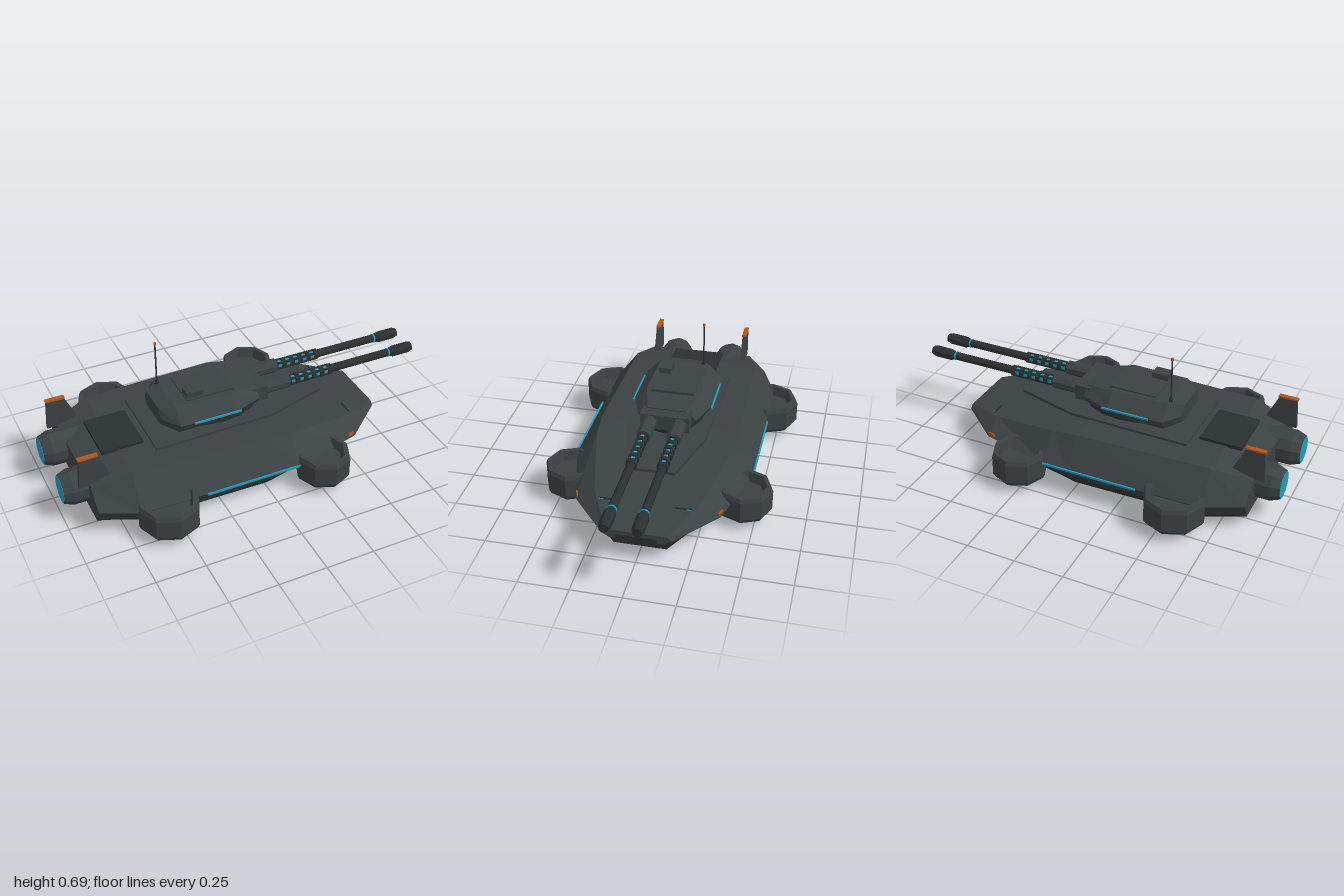
import * as THREE from 'three';

const mat = (name, color) => {
  const m = new THREE.MeshStandardMaterial({ color });
  m.name = name;
  return m;
};

export function createModel() {
  const armour = mat('armour grey', 0x3b4243);
  const dark = mat('dark metal', 0x2a2f30);
  const glow = mat('cyan glow', 0x2299bb);
  const accent = mat('orange accent', 0xb0561c);
  const model = new THREE.Group();
  model.name = 'hoverTank';

  // Faceted mesh helper
  const add = (name, geo, material, x = 0, y = 0, z = 0, parent = model) => {
    const g = geo.index ? geo.toNonIndexed() : geo;
    g.computeVertexNormals();
    const mesh = new THREE.Mesh(g, material);
    mesh.name = name;
    mesh.position.set(x, y, z);
    parent.add(mesh);
    return mesh;
  };
  // Box given by its limits
  const box = (name, material, x0, x1, y0, y1, z0, z1, parent = model) =>
    add(name, new THREE.BoxGeometry(x1 - x0, y1 - y0, z1 - z0), material,
      (x0 + x1) / 2, (y0 + y1) / 2, (z0 + z1) / 2, parent);
  // Rod along x, from radius r0 at x0 to r1 at x1
  const rod = (name, material, x0, x1, r0, r1, y, z, sides = 8, parent = model) => {
    const g = new THREE.CylinderGeometry(r1, r0, x1 - x0, sides);
    g.rotateY(Math.PI / sides).rotateZ(-Math.PI / 2);
    return add(name, g, material, (x0 + x1) / 2, y, z, parent);
  };
  // Symmetric loft along x; each station is [x, z, y, z, y, ...] from top to bottom
  const loft = (stations) => {
    const rings = stations.map(([x, ...p]) => {
      const half = [];
      for (let i = 0; i < p.length; i += 2) half.push([x, p[i + 1], p[i]]);
      return [...half, ...half.map(([a, b, c]) => [a, b, -c]).reverse()];
    });
    const pos = [];
    const tri = (a, b, c) => pos.push(...a, ...b, ...c);
    const n = rings[0].length;
    for (let i = 0; i < rings.length - 1; i++) {
      for (let j = 0; j < n; j++) {
        const k = (j + 1) % n;
        tri(rings[i][j], rings[i][k], rings[i + 1][k]);
        tri(rings[i][j], rings[i + 1][k], rings[i + 1][j]);
      }
    }
    const first = rings[0], last = rings[rings.length - 1];
    for (let j = 1; j < n - 1; j++) {
      tri(first[0], first[j + 1], first[j]);
      tri(last[0], last[j], last[j + 1]);
    }
    const g = new THREE.BufferGeometry();
    g.setAttribute('position', new THREE.Float32BufferAttribute(pos, 3));
    return g;
  };
  // Flat plate cut from an outline in x and z
  const plate = (outline, height) => {
    const s = new THREE.Shape(outline.map(([x, z]) => new THREE.Vector2(x, z)));
    return new THREE.ExtrudeGeometry(s, { depth: height, bevelEnabled: false }).rotateX(-Math.PI / 2);
  };

  // Hull
  add('upperHull', loft([
    [-0.88, 0.28, 0.25, 0.37, 0.16, 0.33, 0.08],
    [-0.69, 0.34, 0.30, 0.45, 0.15, 0.39, 0.07],
    [0.0, 0.36, 0.30, 0.46, 0.15, 0.39, 0.07],
    [0.14, 0.35, 0.28, 0.46, 0.15, 0.38, 0.075],
    [0.51, 0.26, 0.205, 0.36, 0.145, 0.29, 0.09],
    [0.73, 0.15, 0.16, 0.17, 0.14, 0.13, 0.115],
  ]), armour);
  add('lowerHull', loft([
    [-0.86, 0.29, 0.12, 0.29, 0.05, 0.26, 0.02],
    [-0.66, 0.375, 0.12, 0.375, 0.04, 0.345, 0.012],
    [0.02, 0.375, 0.12, 0.375, 0.04, 0.345, 0],
    [0.36, 0.31, 0.12, 0.31, 0.05, 0.28, 0.015],
    [0.66, 0.15, 0.11, 0.15, 0.06, 0.13, 0.03],
  ]), dark);
  box('nosePanel', dark, 0.725, 0.74, 0.12, 0.145, -0.1, 0.1);
  add('deckPlate', plate([[-0.52, -0.22], [0.1, -0.21], [0.43, -0.12],
    [0.43, 0.12], [0.1, 0.21], [-0.52, 0.22]], 0.016), armour, 0, 0.297);
  box('engineHatch', dark, -0.77, -0.555, 0.295, 0.315, -0.135, 0.135);

  // Hull details, mirrored
  for (const s of [1, -1]) {
    const side = s > 0 ? 'left' : 'right';
    box(side + 'GlowStrip', glow, -0.36, 0.14, 0.147, 0.157, s * 0.461 - 0.004, s * 0.461 + 0.004);
    const marker = box(side + 'Marker', accent, 0.47, 0.51, 0.152, 0.164, s * 0.356 - 0.004, s * 0.356 + 0.004);
    marker.rotation.y = s * 0.35;
    box(side + 'LampBracket', dark, 0.545, 0.553, 0.18, 0.202, s * 0.19 - 0.04, s * 0.19 + 0.04);
    box(side + 'Headlamp', glow, 0.551, 0.556, 0.192, 0.2, s * 0.215 - 0.012, s * 0.215 + 0.012);

    // Rear engine with glowing nozzle
    rod(side + 'EngineBody', armour, -0.95, -0.78, 0.09, 0.09, 0.185, s * 0.16, 10);
    rod(side + 'EngineNozzle', armour, -0.998, -0.95, 0.072, 0.09, 0.185, s * 0.16, 10);
    rod(side + 'EngineGlow', glow, -1, -0.996, 0.068, 0.068, 0.185, s * 0.16, 10);

    // Tail fin
    const fin = new THREE.Shape([[-0.93, 0.245], [-0.755, 0.245], [-0.83, 0.403], [-0.92, 0.403]]
      .map(([x, y]) => new THREE.Vector2(x, y)));
    add(side + 'Fin', new THREE.ExtrudeGeometry(fin, { depth: 0.02, bevelEnabled: false }),
      armour, 0, 0, s * 0.25 - 0.01);
    box(side + 'FinCap', accent, -0.925, -0.825, 0.402, 0.411, s * 0.25 - 0.012, s * 0.25 + 0.012);

    // Hover pods
    for (const [end, x, z, r] of [['Rear', -0.555, 0.445, 0.155], ['Front', 0.28, 0.44, 0.14]]) {
      const profile = [[0, 0.055], [0.78 * r, 0.047], [0.92 * r, 0.047], [r, 0.068], [r, 0.168], [0.94 * r, 0.19],
        [0.79 * r, 0.19], [0.7 * r, 0.14], [0, 0.14]].map(([a, b]) => new THREE.Vector2(a, b));
      add(side + end + 'HoverPod', new THREE.LatheGeometry(profile, 8), armour, x, 0, s * z);
      add(side + end + 'HoverGlow', new THREE.CylinderGeometry(0.8 * r, 0.8 * r, 0.006, 16),
        glow, x, 0.046, s * z);
    }
  }

  // Turret
  const turret = new THREE.Group();
  turret.name = 'turret';
  model.add(turret);
  const ring = new THREE.CylinderGeometry(0.25, 0.25, 0.035, 16).scale(1, 1, 0.66);
  add('turretRing', ring, dark, -0.14, 0.325, 0, turret);
  add('turretBody', loft([
    [-0.45, 0.08, 0.435, 0.11, 0.39, 0.09, 0.35],
    [-0.38, 0.13, 0.455, 0.2, 0.385, 0.17, 0.332],
    [-0.09, 0.14, 0.453, 0.205, 0.385, 0.17, 0.332],
    [0.065, 0.1, 0.43, 0.15, 0.385, 0.12, 0.342],
  ]), armour, 0, 0, 0, turret);
  box('roofHatch', armour, -0.31, -0.06, 0.445, 0.462, -0.11, 0.11, turret);
  box('sightBase', dark, -0.3, -0.23, 0.455, 0.47, 0.05, 0.1, turret);
  box('sightHead', armour, -0.308, -0.222, 0.467, 0.496, 0.043, 0.107, turret);
  for (const s of [1, -1]) {
    box('turretGlowStrip', glow, -0.31, -0.06, 0.381, 0.39, s * 0.205 - 0.004, s * 0.205 + 0.004, turret);
  }

  // Antenna
  add('antennaBase', new THREE.CylinderGeometry(0.01, 0.012, 0.025, 8), dark, -0.385, 0.455, -0.1, turret);
  add('antennaMast', new THREE.CylinderGeometry(0.004, 0.004, 0.24, 6), dark, -0.385, 0.565, -0.1, turret);
  add('antennaTip', new THREE.CylinderGeometry(0.007, 0.007, 0.014, 8), accent, -0.385, 0.687, -0.1, turret);

  // Twin guns
  box('mantlet', armour, 0.04, 0.125, 0.345, 0.425, -0.125, 0.125, turret);
  for (const s of [1, -1]) {
    const gun = new THREE.Group();
    gun.name = s > 0 ? 'leftGun' : 'rightGun';
    gun.position.set(0, 0.385, s * 0.075);
    turret.add(gun);
    rod('breech', armour, 0.11, 0.265, 0.037, 0.037, 0, 0, 8, gun);
    rod('glowCore', glow, 0.26, 0.5, 0.02, 0.02, 0, 0, 8, gun);
    for (let i = 0; i < 6; i++) {
      const x = 0.252 + i * 0.0475;
      rod('coilRing', dark, x, x + 0.022, 0.029, 0.029, 0, 0, 8, gun);
    }
    for (let i = 0; i < 4; i++) {
      const a = Math.PI / 4 + i * Math.PI / 2;
      box('coilRail', dark, 0.26, 0.5, Math.sin(a) * 0.022 - 0.005, Math.sin(a) * 0.022 + 0.005,
        Math.cos(a) * 0.022 - 0.005, Math.cos(a) * 0.022 + 0.005, gun);
    }
    rod('barrel', dark, 0.5, 0.9, 0.021, 0.021, 0, 0, 10, gun);
    rod('barrelGlowRing', glow, 0.855, 0.863, 0.024, 0.024, 0, 0, 10, gun);
    rod('muzzleCollar', dark, 0.868, 0.89, 0.023, 0.03, 0, 0, 8, gun);
    rod('muzzleBrake', dark, 0.89, 0.98, 0.03, 0.03, 0, 0, 8, gun);
    rod('muzzleTip', dark, 0.98, 1, 0.03, 0.024, 0, 0, 8, gun);
  }
  return model;
}
